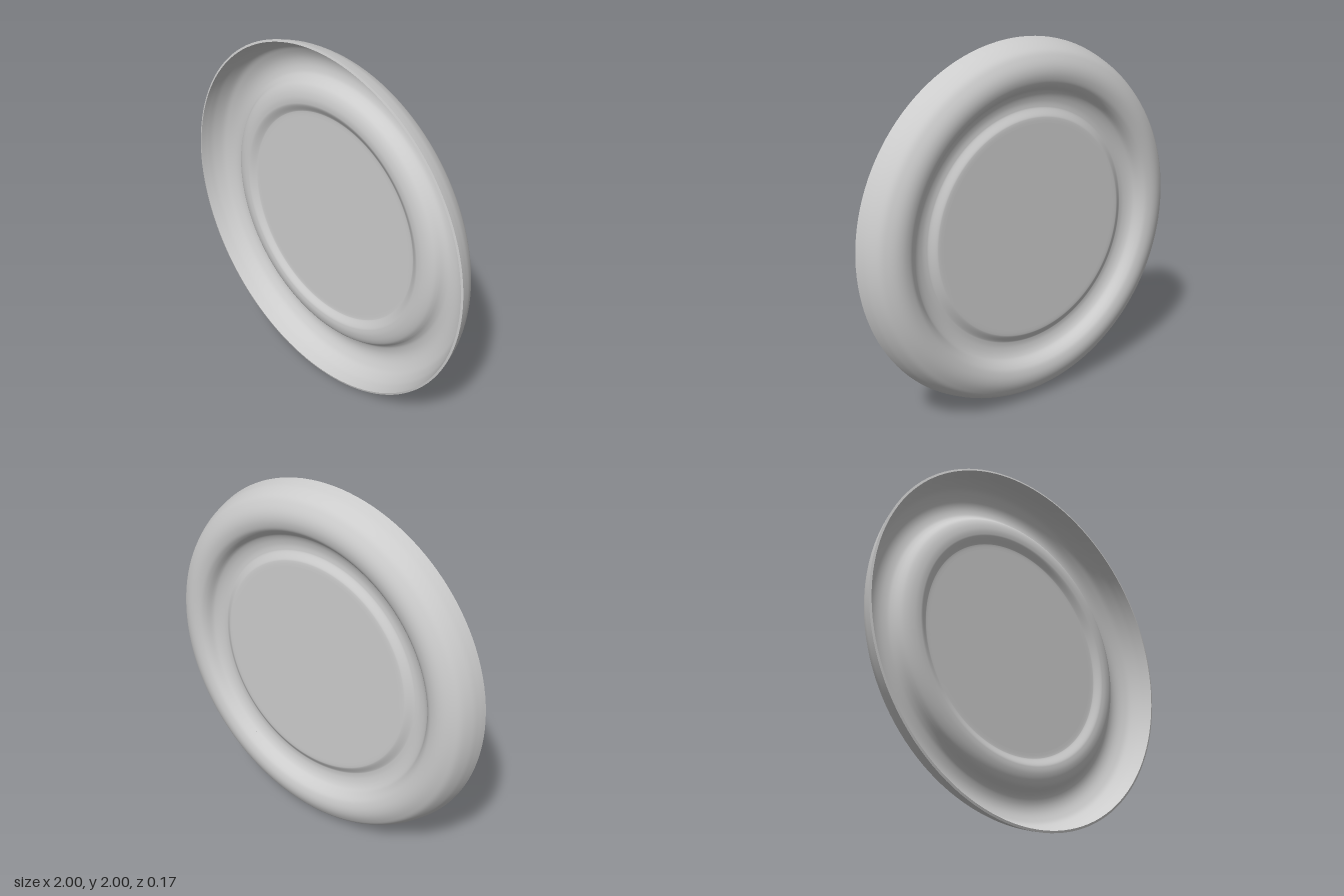
import * as THREE from 'three';
import { mergeGeometries } from 'three/addons/utils/BufferGeometryUtils.js';

const SEGMENTS = 128;
const THICKNESS = 0.012;

// Smooth profile through [radius, depth] points
function smoothProfile(points, count) {
  const curve = new THREE.SplineCurve(points.map(([r, z]) => new THREE.Vector2(r, z)));
  return curve.getPoints(count).map((p) => new THREE.Vector2(Math.max(p.x, 0), p.y));
}

// Shift a profile towards the front along its normal to form the inner skin
function offsetProfile(profile, distance) {
  return profile.map((p, i) => {
    const a = profile[Math.max(i - 1, 0)];
    const b = profile[Math.min(i + 1, profile.length - 1)];
    const t = b.clone().sub(a).normalize();
    return new THREE.Vector2(Math.max(p.x - t.y * distance, 0), p.y + t.x * distance);
  });
}

// Thin turned sheet: back skin, sharp lip and front skin, facing +z
function turnedSheet(name, back, material) {
  const front = offsetProfile(back, THICKNESS);
  const last = back.length - 1;
  const strips = [back, [back[last], front[last]], [...front].reverse()];
  if (back[0].x > 0.01) strips.push([front[0], back[0]]);
  const geometry = mergeGeometries(strips.map((s) => new THREE.LatheGeometry(s, SEGMENTS)));
  geometry.rotateX(Math.PI / 2);
  const mesh = new THREE.Mesh(geometry, material);
  mesh.name = name;
  return mesh;
}

export function createModel() {
  const group = new THREE.Group();
  group.name = 'plate';
  const material = new THREE.MeshStandardMaterial({ color: 0xcccccc, side: THREE.DoubleSide });

  // Wide rolled rim, open to the front and rounded at the back
  const rim = smoothProfile([
    [0.745, -0.032], [0.765, -0.058], [0.79, -0.076], [0.83, -0.085], [0.87, -0.081],
    [0.91, -0.064], [0.945, -0.038], [0.975, 0.01], [0.99, 0.05], [1.0, 0.085],
  ], 60);
  group.add(turnedSheet('rim', rim, material));

  // Centre panel: flat disc, short step up, rounded shoulder down to the rim
  const panel = [
    new THREE.Vector2(0, -0.025),
    ...smoothProfile([
      [0.57, -0.025], [0.595, -0.024], [0.61, -0.02], [0.64, -0.002], [0.655, 0.002],
      [0.68, 0.002], [0.71, -0.005], [0.735, -0.018], [0.75, -0.035],
    ], 48),
  ];
  group.add(turnedSheet('centrePanel', panel, material));

  group.position.y = 1;
  const model = new THREE.Group();
  model.add(group);
  return model;
}
